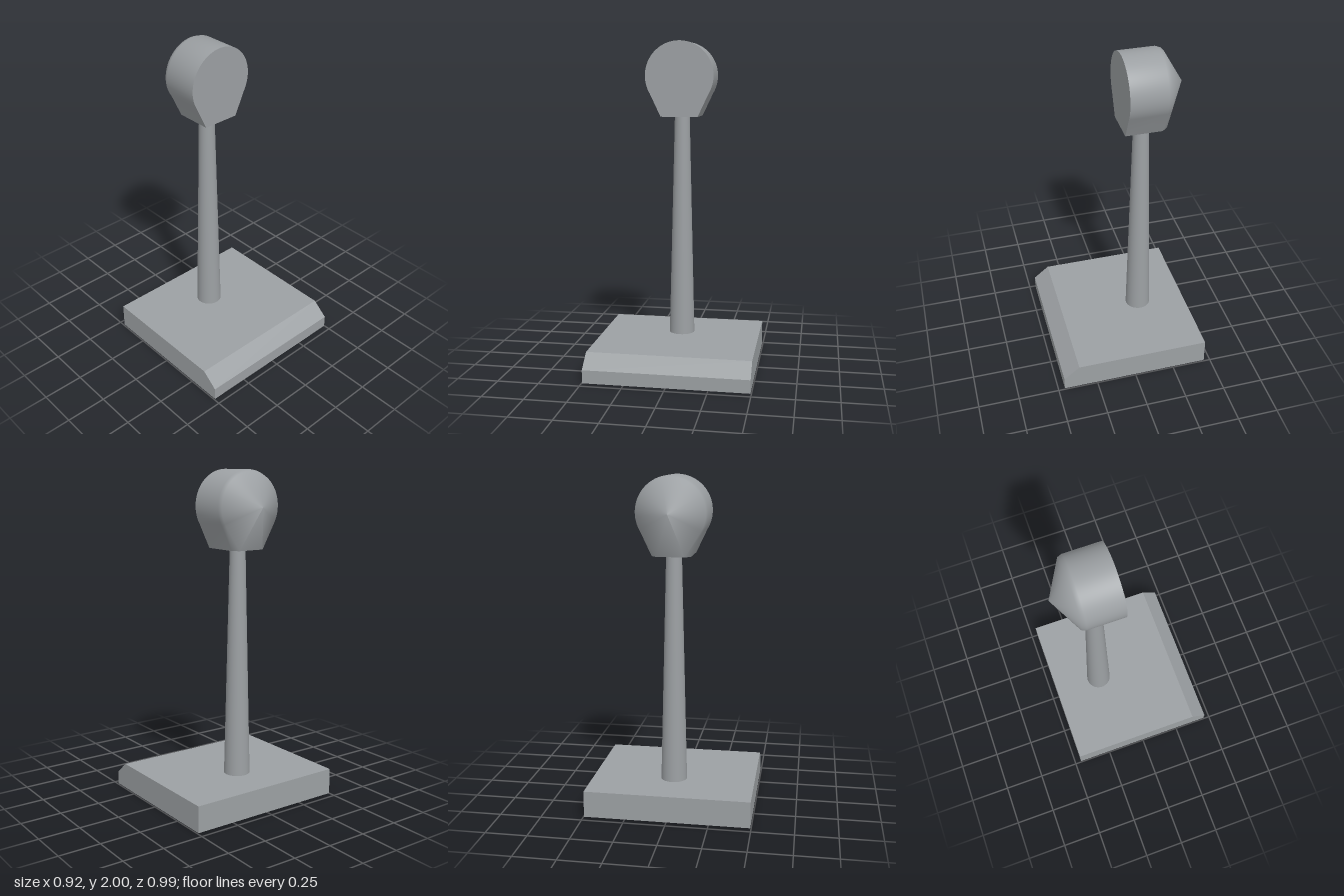
import * as THREE from 'three';
import { toCreasedNormals } from 'three/addons/utils/BufferGeometryUtils.js';

const material = new THREE.MeshStandardMaterial({ color: 0x9ca0a3 });

function addPart(group, name, geometry) {
  const mesh = new THREE.Mesh(geometry, material);
  mesh.name = name;
  group.add(mesh);
  return mesh;
}

// Slab with one chamfered upper edge
function baseGeometry() {
  const shape = new THREE.Shape([
    [-0.46, 0.003], [0.46, 0.003], [0.46, 0.083], [0.363, 0.163], [-0.46, 0.163],
  ].map(([x, y]) => new THREE.Vector2(x, y)));
  return new THREE.ExtrudeGeometry(shape, { depth: 0.99, bevelEnabled: false }).translate(0, 0, -0.495);
}

// Head: keyhole outline lofted along x, closing to a point at the back
function headGeometry() {
  const centerY = 1.79, radius = 0.21, bottom = 1.543, sweep = 2.12, steps = 56;
  const outline = [[-0.114, bottom]];
  for (let i = 0; i <= steps; i++) {
    const a = -sweep + (2 * sweep * i) / steps;
    outline.push([radius * Math.sin(a), centerY + radius * Math.cos(a)]);
  }
  outline.push([0.114, bottom]);

  // Stations: x and outline scale; at the bevel the bottom corners are cut off level
  const stations = [[-0.028, 0], [-0.028, 1], [-0.25, 1], [-0.275, 0.955], [-0.39, 0]];
  const rings = stations.map(([x, s]) => outline.map(([z, y]) => {
    const cutCorner = s > 0 && s < 1 && y === bottom;
    return cutCorner ? [x - 0.01, bottom, z * 0.72] : [x, centerY + (y - centerY) * s, z * s];
  }));

  const positions = [];
  const n = outline.length;
  for (let j = 0; j < rings.length - 1; j++) {
    for (let i = 0; i < n; i++) {
      const k = (i + 1) % n;
      const a = rings[j][i], b = rings[j + 1][i], c = rings[j + 1][k], d = rings[j][k];
      if (stations[j + 1][1] > 0) positions.push(...a, ...b, ...c);
      if (stations[j][1] > 0) positions.push(...a, ...c, ...d);
    }
  }
  const geometry = new THREE.BufferGeometry();
  geometry.setAttribute('position', new THREE.Float32BufferAttribute(positions, 3));
  return toCreasedNormals(geometry, 0.8);
}

export function createModel() {
  const group = new THREE.Group();
  group.name = 'pedestalWithHead';

  addPart(group, 'base', baseGeometry());

  // Tapered post running through the base up into the head
  const height = 1.56;
  const post = addPart(group, 'post', new THREE.CylinderGeometry(0.046, 0.083, height, 48));
  post.position.set(-0.154, height / 2, 0);

  addPart(group, 'head', headGeometry());
  return group;
}
